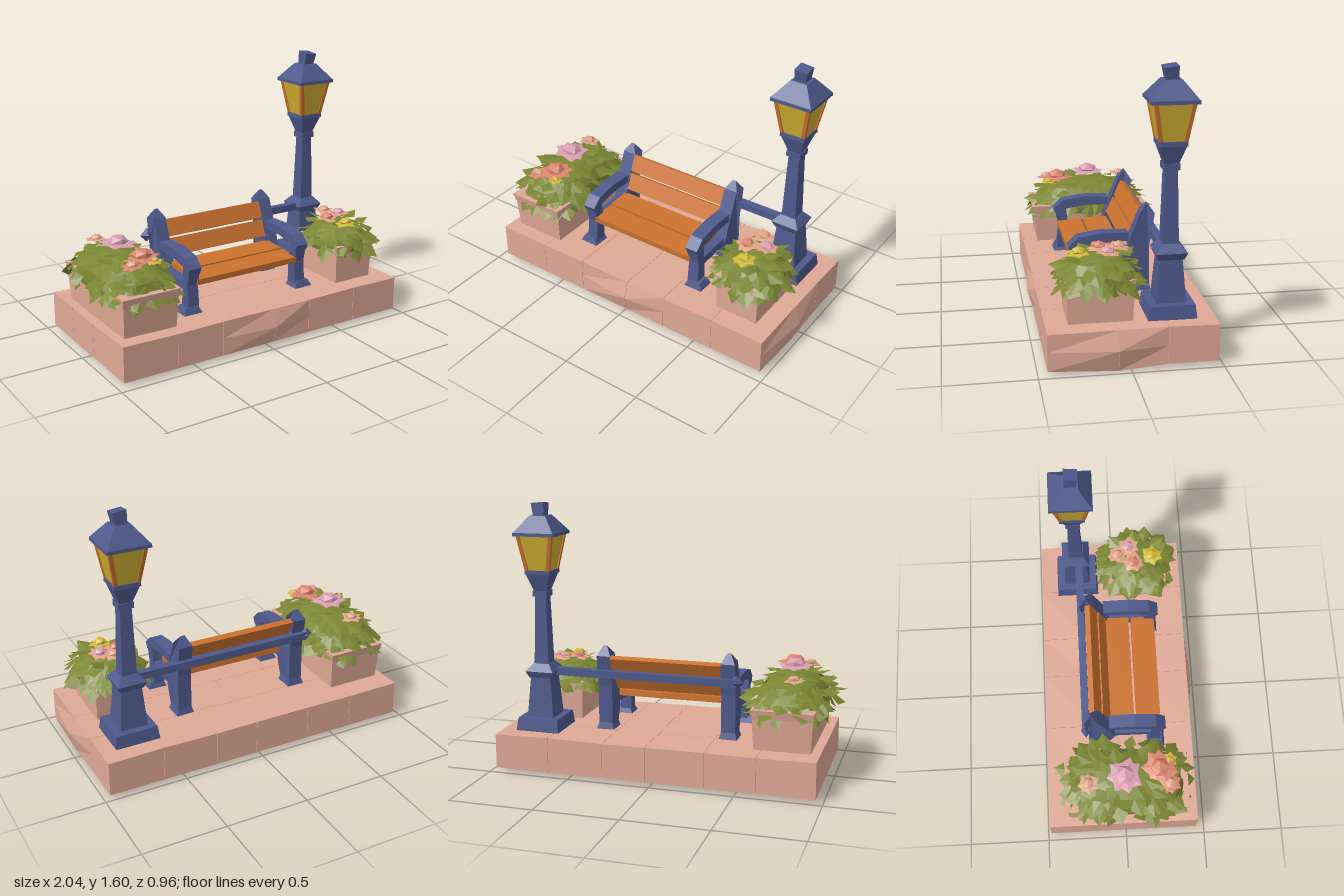
import * as THREE from 'three';
import { mergeGeometries } from 'three/addons/utils/BufferGeometryUtils.js';

const mat = (name, color, side = THREE.FrontSide) => {
  const m = new THREE.MeshStandardMaterial({ color, side });
  m.name = name;
  return m;
};

export function createModel() {
  const stone = mat('stone', 0xdfa996), iron = mat('blue iron', 0x4f5a8c);
  const wood = mat('orange wood', 0xcb722f), glass = mat('yellow glass', 0xd0b032);
  const leafGreen = mat('leaf green', 0x7b8633, THREE.DoubleSide);
  const pink = mat('pink petal', 0xd9a0b4, THREE.DoubleSide);
  const salmon = mat('salmon petal', 0xdc8672, THREE.DoubleSide);
  const peach = mat('peach petal', 0xdfa58a, THREE.DoubleSide);
  const yellow = mat('yellow petal', 0xd2b93c, THREE.DoubleSide);

  let seed = 7;
  const rnd = () => (seed = (seed * 16807) % 2147483647) / 2147483647;
  const flat = (g) => {
    const f = g.index ? g.toNonIndexed() : g;
    f.computeVertexNormals();
    return f;
  };
  const root = new THREE.Group();
  root.name = 'parkBench';
  const add = (parent, name, geo, m, x = 0, y = 0, z = 0) => {
    const mesh = new THREE.Mesh(flat(geo), m);
    mesh.name = name;
    mesh.position.set(x, y, z);
    parent.add(mesh);
    return mesh;
  };
  const group = (name, x = 0, y = 0, z = 0) => {
    const g = new THREE.Group();
    g.name = name;
    g.position.set(x, y, z);
    root.add(g);
    return g;
  };
  // Tapered box standing on y = 0
  const frustum = (wb, db, wt, dt, h) => {
    const g = new THREE.BoxGeometry(1, h, 1);
    g.translate(0, h / 2, 0);
    const p = g.attributes.position;
    for (let i = 0; i < p.count; i++) {
      const top = p.getY(i) > h / 2;
      p.setX(i, p.getX(i) * (top ? wt : wb));
      p.setZ(i, p.getZ(i) * (top ? dt : db));
    }
    return g;
  };

  // Stone platform: paving blocks around a core, a few bulging outwards
  const base = group('platform');
  add(base, 'platformCore', new THREE.BoxGeometry(1.9, 0.195, 0.91), stone, 0, 0.125, -0.015);
  const xs = [-0.96, -0.62, -0.32, 0.03, 0.29, 0.63, 0.965], zs = [-0.48, -0.2, 0.07, 0.45];
  for (let i = 0; i < 6; i++) for (let j = 0; j < 3; j++) {
    const w = xs[i + 1] - xs[i], d = zs[j + 1] - zs[j];
    const g = new THREE.BoxGeometry(w - 0.002, 0.21, d - 0.002, 1, 2, 1);
    g.translate(xs[i] + w / 2, 0.127, zs[j] + d / 2);
    const p = g.attributes.position;
    for (let k = 0; k < p.count; k++) {
      const x = p.getX(k), y = p.getY(k), z = p.getZ(k), mid = Math.abs(y - 0.127) < 0.01;
      if (mid && z > 0.4 && Math.abs(x - 0.03) < 0.01) p.setZ(k, 0.48);
      if (x > 0.9 && Math.abs(z - 0.07) < 0.01) {
        if (mid) p.setX(k, 1);
        else if (y < 0.1) p.setY(k, 0);
      }
      if (y > 0.2) p.setY(k, y + 0.004 * Math.sin(x * 9 + z * 7));
    }
    add(base, 'pavingBlock', g, stone);
  }

  // Bench slats
  const bench = group('bench', -0.015, 0, 0);
  const slat = (name, y, z, depth, tilt) => {
    const m = add(bench, name, new THREE.BoxGeometry(0.71, 0.035, depth), wood, 0, y, z);
    m.rotation.x = tilt;
  };
  slat('seatSlat', 0.418, 0.17, 0.15, 0.06);
  slat('seatSlat', 0.428, 0.005, 0.15, 0.06);
  slat('backSlat', 0.522, -0.105, 0.105, 1.13);
  slat('backSlat', 0.628, -0.158, 0.105, 1.13);

  // Bench end frames: pointed back post, arm, front leg
  const plate = (pts, w) => {
    // pts are [z, y]; extrude along x
    const s = new THREE.Shape(pts.map(([z, y]) => new THREE.Vector2(-z, y)));
    const g = new THREE.ExtrudeGeometry(s, { depth: w, bevelEnabled: false });
    g.translate(0, 0, -w / 2);
    return g.rotateY(Math.PI / 2);
  };
  for (const side of [-1, 1]) {
    const x = side * 0.38;
    const post = plate([[-0.1, 0.235], [-0.04, 0.4], [-0.09, 0.55], [-0.15, 0.7], [-0.19, 0.75],
      [-0.23, 0.69], [-0.2, 0.5], [-0.2, 0.235]], 0.085);
    const p = post.attributes.position;
    for (let i = 0; i < p.count; i++) if (p.getY(i) > 0.74) p.setX(i, p.getX(i) * 0.25);
    add(bench, 'backPost', post, iron, x);
    add(bench, 'armRest', plate([[-0.08, 0.53], [-0.08, 0.58], [0.08, 0.585], [0.21, 0.565],
      [0.27, 0.51], [0.25, 0.47], [0.19, 0.51], [0.07, 0.53]], 0.08), iron, x);
    add(bench, 'frontLeg', plate([[0.19, 0.52], [0.26, 0.5], [0.235, 0.4], [0.25, 0.235],
      [0.17, 0.235], [0.175, 0.38]], 0.07), iron, x);
    add(bench, 'seatBearer', plate([[-0.12, 0.37], [-0.12, 0.42], [0.22, 0.41], [0.22, 0.36]], 0.06), iron, x);
    add(bench, 'frontFoot', frustum(0.12, 0.11, 0.08, 0.08, 0.04), iron, x + side * 0.015, 0.233, 0.215);
    add(bench, 'rearFoot', frustum(0.11, 0.12, 0.085, 0.1, 0.04), iron, x, 0.233, -0.15);
  }

  // Rail joining the bench to the lamp
  const rail = group('backRail');
  add(rail, 'railBar', new THREE.BoxGeometry(1.18, 0.045, 0.045), iron, 0.14, 0.582, -0.222);
  const tip = add(rail, 'railEnd', new THREE.OctahedronGeometry(0.045), iron, -0.445, 0.585, -0.222);
  tip.scale.z = 0.7;

  // Street lamp: [name, bottom y, top y, bottom width, top width]
  const lamp = group('streetLamp', 0.74, 0, -0.24);
  for (const [name, y0, y1, a, b] of [
    ['lampFoot', 0.233, 0.31, 0.27, 0.25], ['lampPedestal', 0.31, 0.56, 0.165, 0.125],
    ['lowerCollar', 0.55, 0.59, 0.14, 0.175], ['lowerCollarTop', 0.59, 0.635, 0.175, 0.1],
    ['lampShaft', 0.63, 1.05, 0.09, 0.068], ['upperCollar', 1.04, 1.075, 0.09, 0.09],
    ['lampNeck', 1.07, 1.175, 0.075, 0.145], ['lanternSeat', 1.175, 1.2, 0.155, 0.155],
    ['roofEave', 1.405, 1.425, 0.255, 0.255], ['lampRoof', 1.425, 1.52, 0.25, 0.1],
  ]) add(lamp, name, frustum(a, a, b, b, y1 - y0), iron, 0, y0, 0);
  const finial = add(lamp, 'roofFinial', frustum(0.065, 0.065, 0.08, 0.08, 0.085), iron, 0, 1.508, 0);
  finial.rotation.z = -0.1;
  finial.rotation.x = 0.12;
  add(lamp, 'lanternGlass', frustum(0.14, 0.14, 0.215, 0.215, 0.21), glass, 0, 1.198, 0);
  for (const sx of [-1, 1]) for (const sz of [-1, 1]) {
    const g = new THREE.BoxGeometry(0.022, 0.21, 0.022);
    const p = g.attributes.position;
    for (let i = 0; i < p.count; i++) {
      const r = p.getY(i) > 0 ? 0.102 : 0.066;
      p.setX(i, p.getX(i) + sx * r);
      p.setZ(i, p.getZ(i) + sz * r);
    }
    add(lamp, 'lanternCorner', g, wood, 0, 1.303, 0);
  }

  // Folded pointed leaf, growing along dir with its face towards normal
  const leaf = (pos, dir, normal, len, wid) => {
    const g = new THREE.BufferGeometry();
    const f = len * 0.12;
    g.setAttribute('position', new THREE.Float32BufferAttribute([
      0, 0, 0, 0, len, -f, -wid / 2, len * 0.45, -f,
      0, 0, 0, wid / 2, len * 0.45, -f, 0, len, -f], 3));
    const y = dir.clone().normalize(), x = y.clone().cross(normal).normalize();
    const z = x.clone().cross(y);
    const m = new THREE.Matrix4().makeBasis(x, y, z).setPosition(pos);
    return flat(g.applyMatrix4(m));
  };
  const V = (x, y, z) => new THREE.Vector3(x, y, z);
  const pw = (v, e) => Math.sign(v) * Math.abs(v) ** e;

  // Planter with a leafy dome; rx, rz, h are the dome radii, e its squareness
  const planter = (name, x, z, w, d, rx, rz, h, e, rings, flowers) => {
    const g = group(name, x, 0, z);
    add(g, 'planterBox', frustum(w * 0.94, d * 0.95, w, d, 0.225), stone, 0, 0.232, 0);
    add(g, 'planterRim', frustum(w, d, w * 1.04, d * 1.03, 0.05), stone, 0, 0.42, 0);
    const y0 = 0.45;
    const dome = (el, a, s) => V(rx * s * Math.cos(el) * pw(Math.cos(a), e),
      y0 + h * s * Math.sin(el), rz * s * Math.cos(el) * pw(Math.sin(a), e));
    const core = new THREE.SphereGeometry(1, 14, 8);
    const p = core.attributes.position;
    for (let i = 0; i < p.count; i++) {
      const px = p.getX(i), py = p.getY(i), pz = p.getZ(i);
      const v = dome(Math.asin(THREE.MathUtils.clamp(py, -0.2, 1)), Math.atan2(pz, px), 0.9);
      p.setXYZ(i, v.x, v.y, v.z);
    }
    core.scale(-1, 1, 1);
    add(g, 'foliageCore', core, leafGreen);
    const leaves = [];
    rings.forEach((n, r) => {
      const el = (r / rings.length) * 1.45;
      for (let k = 0; k < n; k++) {
        const a = ((k + 0.5 * (r % 2) + rnd() * 0.5) / n) * Math.PI * 2;
        const pos = dome(el + rnd() * 0.12, a, 0.9);
        const out = V(Math.cos(a), 0, Math.sin(a));
        const dir = out.clone().multiplyScalar(0.45 + 0.5 * Math.sin(el));
        dir.y = -0.75 * Math.cos(el) + rnd() * 0.75;
        dir.add(V(rnd() - 0.5, 0, rnd() - 0.5).multiplyScalar(0.7));
        const nor = out.multiplyScalar(Math.cos(el)).add(V(0, 0.3 + Math.sin(el), 0));
        leaves.push(leaf(pos, dir, nor, 0.085 + rnd() * 0.035, 0.08 + rnd() * 0.03));
      }
    });
    add(g, 'leaves', mergeGeometries(leaves), leafGreen);
    // Blossoms: faceted heart with a ring of petals
    for (const [fx, fy, fz, r, m, heart] of flowers) {
      const c = V(fx - x, fy, fz - z), petals = [];
      for (let k = 0; k < 7; k++) {
        const a = (k / 7) * Math.PI * 2 + rnd() * 0.4;
        petals.push(leaf(c, V(Math.cos(a), -0.25 + rnd() * 0.4, Math.sin(a)), V(0, 1, 0), r * 1.15, r * 1.1));
      }
      add(g, 'petals', mergeGeometries(petals), m);
      const bud = new THREE.IcosahedronGeometry(r * 0.62, 0);
      add(g, 'blossomHeart', bud.scale(1, 0.6, 1), heart, c.x, c.y, c.z);
    }
  };

  planter('leftPlanter', -0.74, 0.01, 0.35, 0.73, 0.225, 0.385, 0.19, 0.65, [28, 26, 24, 20, 14, 8], [
    [-0.75, 0.67, 0.0, 0.1, pink, pink], [-0.71, 0.645, 0.21, 0.1, salmon, salmon],
    [-0.66, 0.62, 0.27, 0.045, yellow, yellow], [-0.78, 0.63, -0.22, 0.06, peach, peach],
    [-0.8, 0.62, 0.27, 0.06, salmon, peach],
  ]);
  planter('rightPlanter', 0.72, 0.15, 0.28, 0.37, 0.2, 0.22, 0.155, 0.85, [20, 19, 17, 13, 8], [
    [0.71, 0.595, 0.25, 0.065, yellow, yellow], [0.66, 0.605, 0.13, 0.065, peach, salmon],
    [0.77, 0.61, 0.1, 0.065, peach, pink], [0.71, 0.62, 0.03, 0.06, peach, peach],
  ]);

  return root;
}
